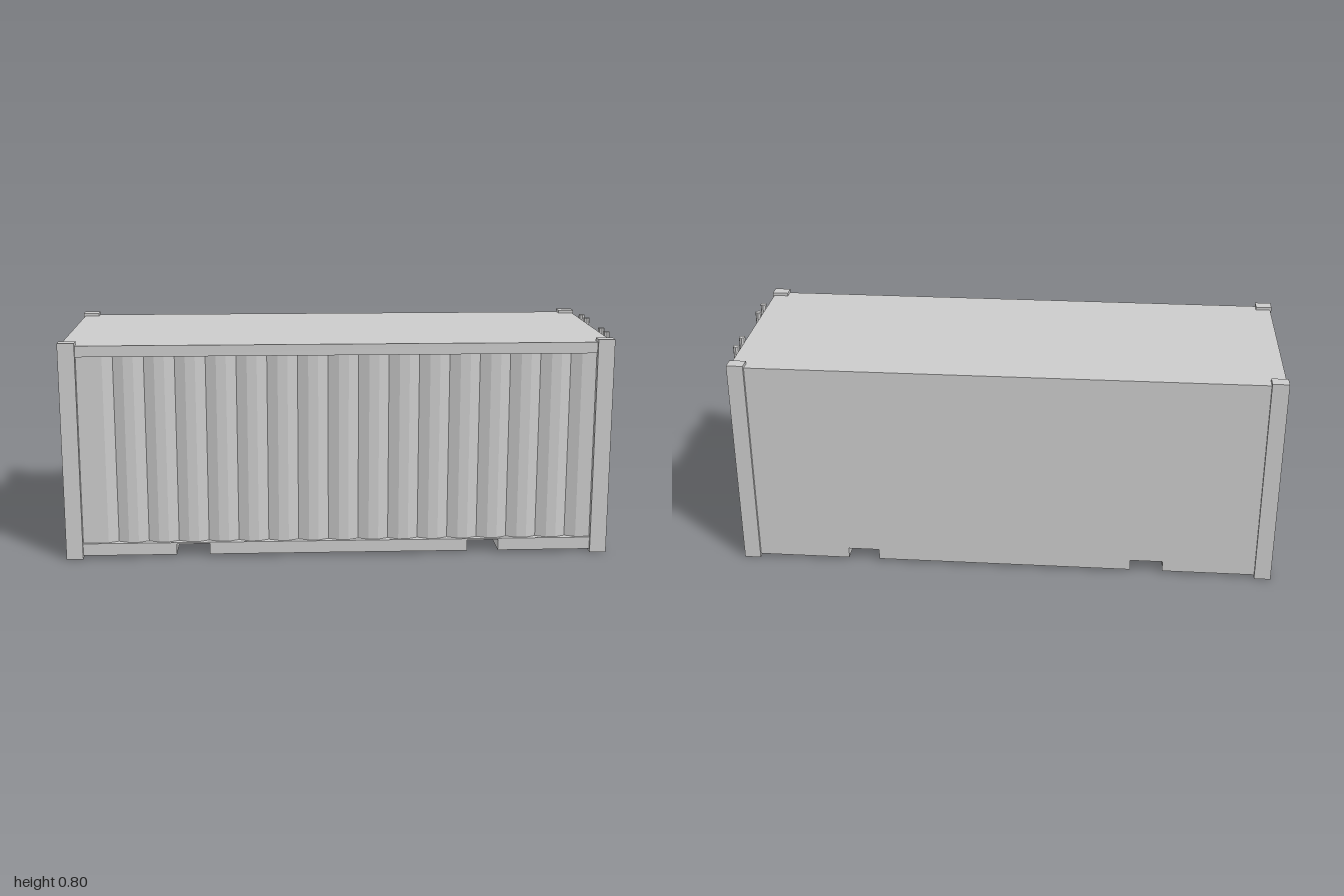
import * as THREE from 'three';

const material = new THREE.MeshStandardMaterial({ color: 0xcccccc, flatShading: true });

function add(parent, name, geometry, x = 0, y = 0, z = 0) {
  const mesh = new THREE.Mesh(geometry, material);
  mesh.name = name;
  mesh.position.set(x, y, z);
  parent.add(mesh);
  return mesh;
}

// Box given by its two opposite corners
function block(parent, name, x0, x1, y0, y1, z0, z1) {
  return add(parent, name, new THREE.BoxGeometry(x1 - x0, y1 - y0, z1 - z0),
    (x0 + x1) / 2, (y0 + y1) / 2, (z0 + z1) / 2);
}

function extrude(points, depth) {
  const shape = new THREE.Shape(points.map(([x, y]) => new THREE.Vector2(x, y)));
  return new THREE.ExtrudeGeometry(shape, { depth, bevelEnabled: false });
}

export function createModel() {
  const container = new THREE.Group();
  container.name = 'shippingContainer';

  const left = -0.995, right = 0.975, side = 0.37;
  const floorY = 0.055, roofY = 0.745;

  // Base frame with two forklift pockets running right through
  const base = [[left, floorY], [left, 0.01]];
  for (const [a, b] of [[-0.6, -0.48], [0.465, 0.58]]) {
    base.push([a, 0.01], [a, 0.05], [b, 0.05], [b, 0.01]);
  }
  base.push([right, 0.01], [right, floorY]);
  add(container, 'baseFrame', extrude(base, side * 2), 0, 0, -side);

  // Roof slab, forming the top rails
  block(container, 'roof', left, right, roofY, 0.785, -side, side);

  // Walls: a plan outline with V grooves along the front, extruded upwards
  const outer = 0.36, valley = 0.343, pitch = 0.1095;
  const plan = [[-0.978, side], [-0.978, -outer]];
  for (let i = 0; i < 16; i++) {
    const x = -0.812 + i * pitch;
    plan.push([x - 0.036, -outer], [x, -valley], [x + 0.038, -outer]);
  }
  plan.push([0.955, -outer], [0.955, side]);
  const walls = extrude(plan, roofY - floorY);
  walls.rotateX(-Math.PI / 2);
  add(container, 'corrugatedWalls', walls, 0, floorY, 0);

  // Corner posts
  for (const [x0, x1] of [[-1, -0.94], [0.92, 0.98]]) {
    for (const s of [-1, 1]) {
      block(container, 'cornerPost', x0, x1, 0, 0.796,
        Math.min(s * 0.333, s * 0.381), Math.max(s * 0.333, s * 0.381));
    }
  }

  // Pair of end doors with a narrow gap between them
  block(container, 'leftDoor', 0.95, 0.968, floorY, roofY, 0.0015, 0.335);
  block(container, 'rightDoor', 0.95, 0.968, floorY, roofY, -0.335, -0.0015);

  // Locking rods with thicker collars at both ends
  for (const z of [0.209, 0.127, -0.123, -0.207]) {
    const rod = new THREE.Group();
    rod.name = 'lockingRod';
    rod.position.set(0.988, 0, z);
    container.add(rod);
    add(rod, 'rodBar', new THREE.CylinderGeometry(0.008, 0.008, 0.7, 8), 0, 0.4, 0);
    for (const y of [0.026, 0.771]) {
      add(rod, 'rodCollar', new THREE.CylinderGeometry(0.012, 0.012, 0.052, 8), 0, y, 0);
    }
  }

  // Door latch: a plate narrowing to one side
  const latch = extrude([
    [-0.04, 0.38], [-0.008, 0.38], [0.01, 0.389], [0.037, 0.389],
    [0.037, 0.411], [0.01, 0.411], [-0.008, 0.42], [-0.04, 0.42],
  ], 0.014);
  latch.rotateY(Math.PI / 2);
  add(container, 'doorLatch', latch, 0.966, 0, 0);

  return container;
}
